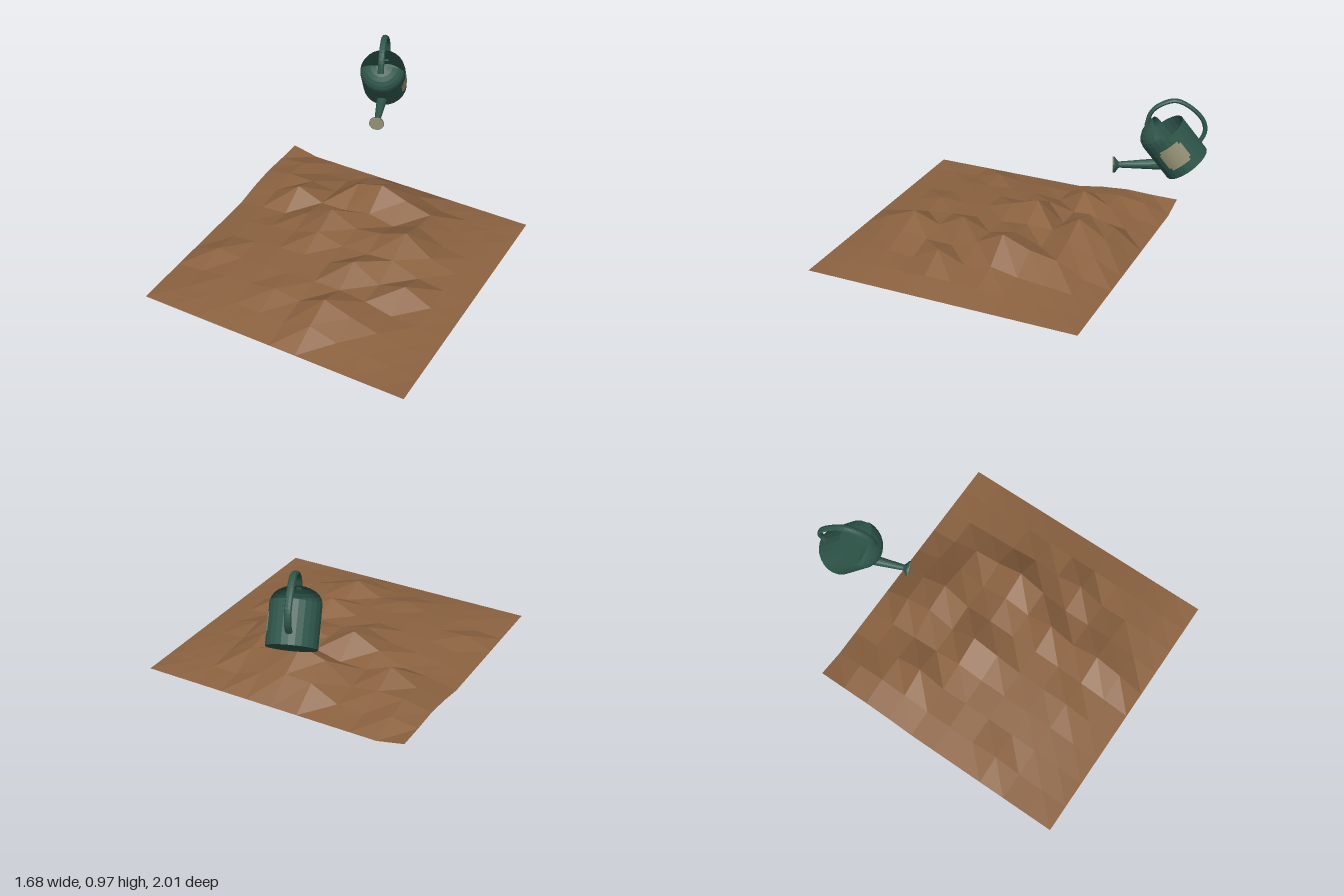
import * as THREE from 'three';

const SOIL = new THREE.MeshStandardMaterial({ color: 0x8b6240, flatShading: true, side: THREE.DoubleSide });
SOIL.name = 'soil brown';
const GREEN = new THREE.MeshStandardMaterial({ color: 0x2e564a, flatShading: true, side: THREE.DoubleSide });
GREEN.name = 'can green';
const TAN = new THREE.MeshStandardMaterial({ color: 0x969276, flatShading: true, side: THREE.DoubleSide });
TAN.name = 'pale tan';

function add(parent, name, geometry, material) {
  const mesh = new THREE.Mesh(geometry, material);
  mesh.name = name;
  parent.add(mesh);
  return mesh;
}

// Low mound on a 10 x 10 grid: a soft dome, with clods set at single grid points
function soilGeometry() {
  const n = 10, size = 1.68;
  const geo = new THREE.PlaneGeometry(size, size, n, n).rotateX(-Math.PI / 2);
  const pos = geo.attributes.position;
  const fall = (i) => 1 - ((i - 5) / 5) ** 2;
  for (let j = 0; j <= n; j++) {
    for (let i = 0; i <= n; i++) pos.setY(j * (n + 1) + i, 0.003 + 0.1 * fall(i) * fall(j));
  }
  // column, row, height in hundredths
  const clods = [
    [0, 0, 4], [0, 1, 4], [0, 2, 4.5], [0, 3, 3], [1, 1, 6], [1, 2, 8], [2, 2, 8],
    [4, 1, 12], [5, 1, 13], [6, 1, 9], [4, 2, 18], [5, 2, 22.8], [6, 2, 16.5], [7, 2, 12],
    [1, 3, 6], [2, 3, 15], [3, 3, 8], [5, 3, 12], [7, 3, 15],
    [2, 4, 5], [3, 4, 12], [4, 4, 20.5], [5, 4, 12], [6, 4, 15], [7, 4, 21.5], [8, 4, 9],
    [4, 5, 15], [6, 5, 11], [7, 5, 13], [8, 5, 6], [6, 6, 17.8], [7, 6, 7], [8, 6, 12.7],
    [1, 7, 6.5], [6, 7, 9], [8, 7, 3.5], [1, 8, 1.5], [4, 8, 9], [6, 8, 15], [7, 8, 9], [6, 9, 8.5],
  ];
  for (const [i, j, h] of clods) pos.setY(j * (n + 1) + i, h / 100);
  geo.translate(0, 0, 0.16);
  geo.computeVertexNormals();
  return geo;
}

// Watering can, upright with its spout along +z
function wateringCan() {
  const can = new THREE.Group();
  can.name = 'wateringCan';
  const R = 0.14, H = 0.24, SIDES = 24;

  const wall = [[0, 0], [R, 0], [R, H]].map(([x, y]) => new THREE.Vector2(x, y));
  add(can, 'body', new THREE.LatheGeometry(wall, SIDES), GREEN);

  // Half hood over the front of the opening
  const hood = new THREE.SphereGeometry(R, 12, 6, 0, Math.PI, 0, Math.PI / 2);
  add(can, 'hood', hood.scale(1, 0.66, 1).translate(0, H, 0), GREEN);

  // Flattened loop handle from the hood to the back
  const path = new THREE.CatmullRomCurve3([
    [0.325, 0.05], [0.372, -0.01], [0.384, -0.07], [0.354, -0.168], [0.273, -0.214],
    [0.161, -0.226], [0.099, -0.195], [0.065, -0.135],
  ].map(([y, z]) => new THREE.Vector3(0, y, z)));
  add(can, 'handle', new THREE.TubeGeometry(path, 28, 0.013, 8).scale(1.5, 1, 1), GREEN);

  // Tapered spout flaring into the rose, built along y and leaned forward
  const spout = new THREE.Group();
  spout.name = 'spout';
  const from = new THREE.Vector3(0, 0.078, 0.12);
  const to = new THREE.Vector3(0, 0.239, 0.349);
  const len = from.distanceTo(to);
  const profile = [[0.034, 0], [0.018, len - 0.035], [0.022, len - 0.028], [0.046, len - 0.01], [0.047, len]]
    .map(([x, y]) => new THREE.Vector2(x, y));
  add(spout, 'spoutPipe', new THREE.LatheGeometry(profile, 16), GREEN);
  add(spout, 'roseFace', new THREE.CylinderGeometry(0.045, 0.047, 0.005, 16).translate(0, len, 0), TAN);
  spout.position.copy(from);
  spout.rotation.x = Math.atan2(to.z - from.z, to.y - from.y);
  can.add(spout);

  // Label on the left side: two overlapping curved patches give notched corners
  for (const [height, half] of [[0.135, 0.43], [0.1, 0.53]]) {
    const patch = new THREE.CylinderGeometry(R + 0.003, R + 0.003, height, 8, 1, true, Math.PI / 2 - half, half * 2);
    add(can, 'label', patch.translate(0, 0.125, 0), TAN);
  }
  return can;
}

export function createModel() {
  const model = new THREE.Group();
  model.name = 'gardenPatch';
  add(model, 'soil', soilGeometry(), SOIL);

  // The can hovers behind the patch, tipped to pour
  const can = wateringCan();
  can.position.set(-0.275, 0.58, -0.893);
  can.rotation.set(0.66, 0.36, 0, 'YXZ');
  model.add(can);
  return model;
}
